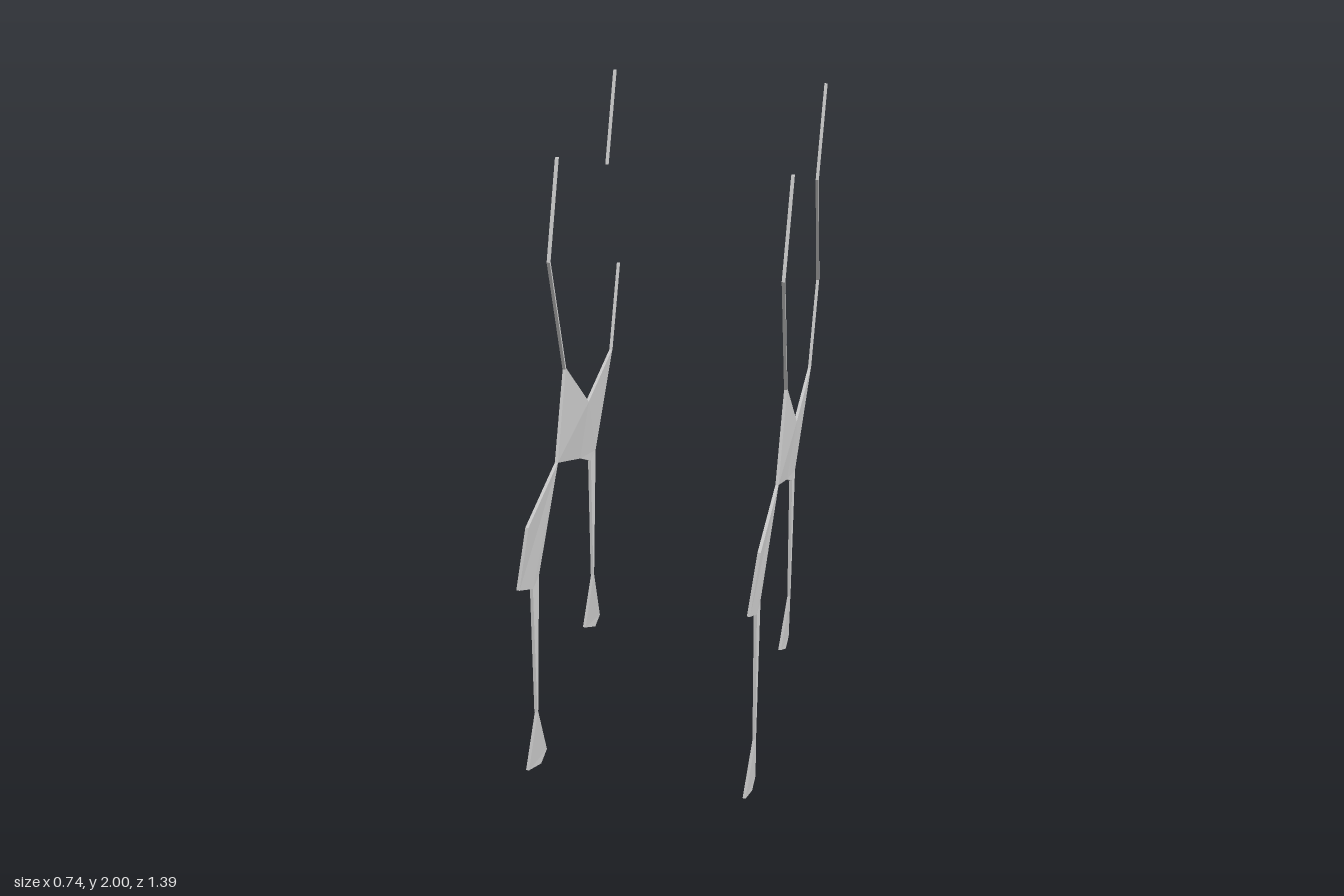
import * as THREE from 'three';

const THICK = 0.01;
const STRIP = 0.005; // half width of the thin strips

// sideways lean of a panel at the given height
const LEAN = [[0, -0.017], [0.1, -0.017], [0.285, 0], [0.72, -0.017], [0.815, -0.017], [1.0, 0], [2, 0]];
function lean(y) {
  for (let i = 1; i < LEAN.length; i++) {
    const [y0, a] = LEAN[i - 1], [y1, b] = LEAN[i];
    if (y <= y1) return a + (b - a) * (y - y0) / (y1 - y0);
  }
  return 0;
}

const material = new THREE.MeshStandardMaterial({ color: 0xcccccc, flatShading: true, side: THREE.DoubleSide });

// thin plate from a (z, y) outline, bent sideways by the lean rule
function plate(name, outline, dz = 0) {
  const shape = new THREE.Shape(outline.map(([z, y]) => new THREE.Vector2(z + dz, y)));
  const geo = new THREE.ExtrudeGeometry(shape, { depth: THICK, bevelEnabled: false });
  geo.translate(0, 0, -THICK / 2).rotateY(-Math.PI / 2);
  const p = geo.attributes.position;
  for (let i = 0; i < p.count; i++) p.setX(i, p.getX(i) + lean(p.getY(i)));
  geo.computeVertexNormals();
  const mesh = new THREE.Mesh(geo, material);
  mesh.name = name;
  return mesh;
}

// narrow strip between two (z, y) points
function strip(name, [z0, y0], [z1, y1]) {
  return plate(name, [[z0 - STRIP, y0], [z0 + STRIP, y0], [z1 + STRIP, y1], [z1 - STRIP, y1]]);
}

const FOOT = [[0.613, 0.287], [0.693, 0.1], [0.548, 0.008], [0.472, 0.008]];
const REAR_FOOT = [[0.613, 0.287], [0.693, 0.1], [0.548, 0], [0.472, 0]];
const SHIN = [[0.546, 0.72], [0.471, 0.72], [0.61, 0.287], [0.622, 0.287]];
const THIGH = [[0.62, 1.0], [0.693, 0.815], [0.546, 0.72], [0.471, 0.72], [0.249, 1.013]];
const SHOULDER = [[0.253, 1.013], [0.111, 1.285], [-0.178, 1.0]];
const BELLY = [[0.253, 1.013], [-0.178, 1.0], [-0.545, 1.013], [-0.325, 0.72], [-0.25, 0.72], [-0.105, 0.815]];

function panel(name, x, hasMiddleStrip) {
  const g = new THREE.Group();
  g.name = name;
  g.position.x = x;

  // legs
  g.add(plate('frontFoot', FOOT), plate('rearFoot', REAR_FOOT, -0.796));
  g.add(plate('frontShin', SHIN), plate('rearShin', SHIN, -0.796));
  g.add(plate('frontThigh', THIGH));

  // body
  g.add(plate('bodyUpper', SHOULDER), plate('bodyLower', BELLY));

  // upright strips
  g.add(strip('frontStripLower', [0.111, 1.28], [0.251, 1.72]));
  g.add(strip('frontStripUpper', [0.251, 1.72], [0.111, 2]));
  g.add(strip('rearStripLower', [-0.541, 1.008], [-0.688, 1.285]));
  if (hasMiddleStrip) g.add(strip('rearStripMiddle', [-0.688, 1.285], [-0.543, 1.72]));
  g.add(strip('rearStripUpper', [-0.543, 1.72], [-0.688, 2]));
  return g;
}

export function createModel() {
  const model = new THREE.Group();
  model.name = 'sidePanels';
  model.add(panel('leftPanel', 0.366, true), panel('rightPanel', -0.349, false));
  return model;
}
